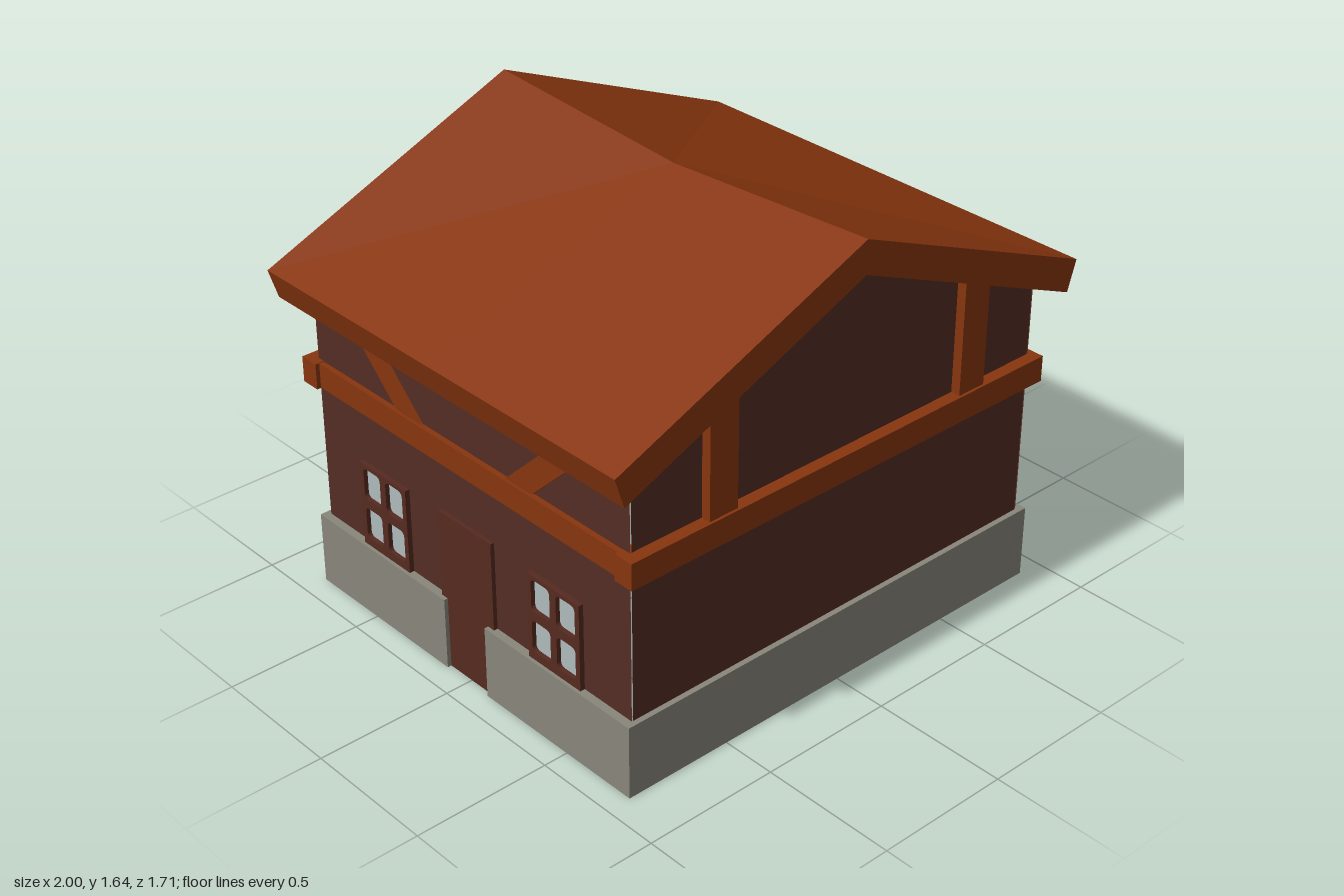
import * as THREE from 'three';

const mat = (name, color, side = THREE.FrontSide) => {
  const m = new THREE.MeshStandardMaterial({ color, side });
  m.name = name;
  return m;
};

export function createModel() {
  const house = new THREE.Group();
  house.name = 'house';
  const timber = mat('orange timber', 0x87350e);
  const wall = mat('brown wall', 0x532d24, THREE.DoubleSide);
  const trim = mat('red brown trim', 0x562a20);
  const stone = mat('grey stone', 0x89867b);
  const glass = mat('pale glass', 0xafbbbb);

  const add = (name, geo, material, parent = house) => {
    const m = new THREE.Mesh(geo, material);
    m.name = name;
    parent.add(m);
    return m;
  };
  // box given by its lower and upper limits on each axis
  const box = (name, material, [x0, x1], [y0, y1], [z0, z1], parent) => {
    const m = add(name, new THREE.BoxGeometry(x1 - x0, y1 - y0, z1 - z0), material, parent);
    m.position.set((x0 + x1) / 2, (y0 + y1) / 2, (z0 + z1) / 2);
    return m;
  };
  const poly = (pts) => new THREE.Shape(pts.map(([x, y]) => new THREE.Vector2(x, y)));
  const rect = (cx, cy, w, h) => poly([
    [cx - w / 2, cy - h / 2], [cx + w / 2, cy - h / 2], [cx + w / 2, cy + h / 2], [cx - w / 2, cy + h / 2]]);

  // stone base, open below, with a doorway on the right side
  const H = [0, 0.27];
  for (const s of [[0.775, 0.8], [-0.8, -0.775]]) box('baseEnd', stone, [-0.91, 0.91], H, s);
  box('baseSide', stone, [0.875, 0.91], H, [-0.775, 0.775]);
  box('baseSide', stone, [-0.91, -0.875], H, [-0.775, -0.11]);
  box('baseSide', stone, [-0.91, -0.875], H, [0.1, 0.775]);

  // gable walls
  for (const z of [0.78, -0.78]) {
    const g = new THREE.ShapeGeometry(poly([[-0.875, 0.27], [0.875, 0.27], [0.875, 1.17], [0, 1.53], [-0.875, 1.17]]));
    add('gableWall', g, wall).position.z = z;
  }

  // side walls with window openings, and a door opening on one side
  for (const s of [1, -1]) {
    const outline = [[-0.78, 0.27], [0.78, 0.27], [0.78, 1.18], [-0.78, 1.18]];
    if (s < 0) outline.splice(1, 0, [-0.13, 0.27], [-0.13, 0.58], [0.12, 0.58], [0.12, 0.27]);
    const shape = poly(outline);
    for (const w of [-0.435, 0.435]) shape.holes.push(rect(w, 0.43, 0.23, 0.3));
    const m = add('sideWall', new THREE.ShapeGeometry(shape), wall);
    m.rotation.y = -Math.PI / 2; // local x becomes z
    m.position.x = 0.88 * s;
  }

  // door
  box('door', trim, [-0.895, -0.865], [0, 0.6], [-0.14, 0.13]);

  // windows: frame with four rounded openings and recessed panes
  const roundPane = (cx, cy) => {
    const p = new THREE.Path();
    const w = 0.045, h = 0.06, r = 0.018;
    for (const [sx, sy, a] of [[1, 1, 0], [-1, 1, 1], [-1, -1, 2], [1, -1, 3]])
      p.absarc(cx + sx * (w - r), cy + sy * (h - r), r, a * Math.PI / 2, (a + 1) * Math.PI / 2);
    return p;
  };
  const frameShape = rect(0, 0, 0.25, 0.32);
  for (const x of [-0.06, 0.06]) for (const y of [-0.07, 0.085]) frameShape.holes.push(roundPane(x, y));
  const frameGeo = new THREE.ExtrudeGeometry(frameShape, { depth: 0.04, bevelEnabled: false, curveSegments: 3 });
  frameGeo.translate(0, 0, -0.02);
  for (const s of [1, -1]) for (const z of [-0.435, 0.435]) {
    const win = new THREE.Group();
    win.name = 'window';
    add('windowFrame', frameGeo, trim, win);
    box('windowPanes', glass, [-0.115, 0.115], [-0.145, 0.155], [-0.004, 0.004], win);
    win.rotation.y = s * Math.PI / 2;
    win.position.set(0.878 * s, 0.43, z);
    house.add(win);
  }

  // beam belt around the house
  const B = [0.79, 0.885];
  for (const s of [[0.75, 0.825], [-0.825, -0.75]]) box('endBeam', timber, [-0.915, 0.905], B, s);
  for (const s of [[0.845, 0.9], [-0.9, -0.845]]) box('sideBeam', timber, s, [0.792, 0.883], [-0.815, 0.82]);

  // gable posts
  for (const z of [[0.75, 0.815], [-0.815, -0.75]])
    for (const x of [[-0.595, -0.48], [0.505, 0.62]]) box('gablePost', timber, x, [0.87, 1.32], z);

  // slanted side braces
  for (const s of [1, -1]) for (const f of [1, -1]) {
    const shape = poly([[0.2, 0.87], [0.325, 0.87], [0.63, 1.16], [0.505, 1.16]].map(([z, y]) => [z * f, y]));
    const g = new THREE.ExtrudeGeometry(shape, { depth: 0.045, bevelEnabled: false });
    g.translate(0, 0, -0.0225);
    const m = add('sideBrace', g, timber);
    m.rotation.y = -Math.PI / 2;
    m.position.x = 0.8675 * s;
  }

  // thick roof whose ridge sags in the middle
  const section = (z, sag) => [[1, 1.225], [0, 1.64 - sag], [-1, 1.225], [-0.965, 1.115], [0, 1.52 - sag], [0.965, 1.115]]
    .map(([x, y]) => [x, y, z]);
  const back = section(-0.855, 0), mid = section(0, 0.05), front = section(0.855, 0);
  const pos = [];
  const quad = (a, b, c, d, ac = true) => {
    for (const v of ac ? [a, b, c, a, c, d] : [a, b, d, b, c, d]) pos.push(...v);
  };
  [[back, mid], [mid, front]].forEach(([p, q], half) => {
    for (let i = 0; i < 6; i++) {
      const j = (i + 1) % 6;
      quad(p[i], p[j], q[j], q[i], (j % 3 === 1) === (half === 0));
    }
  });
  for (const [a, b, c, d] of [[0, 1, 4, 5], [1, 2, 3, 4]]) {
    quad(front[a], front[b], front[c], front[d]);
    quad(back[d], back[c], back[b], back[a]);
  }
  const roofGeo = new THREE.BufferGeometry();
  roofGeo.setAttribute('position', new THREE.Float32BufferAttribute(pos, 3));
  roofGeo.computeVertexNormals();
  add('roof', roofGeo, timber);

  return house;
}
